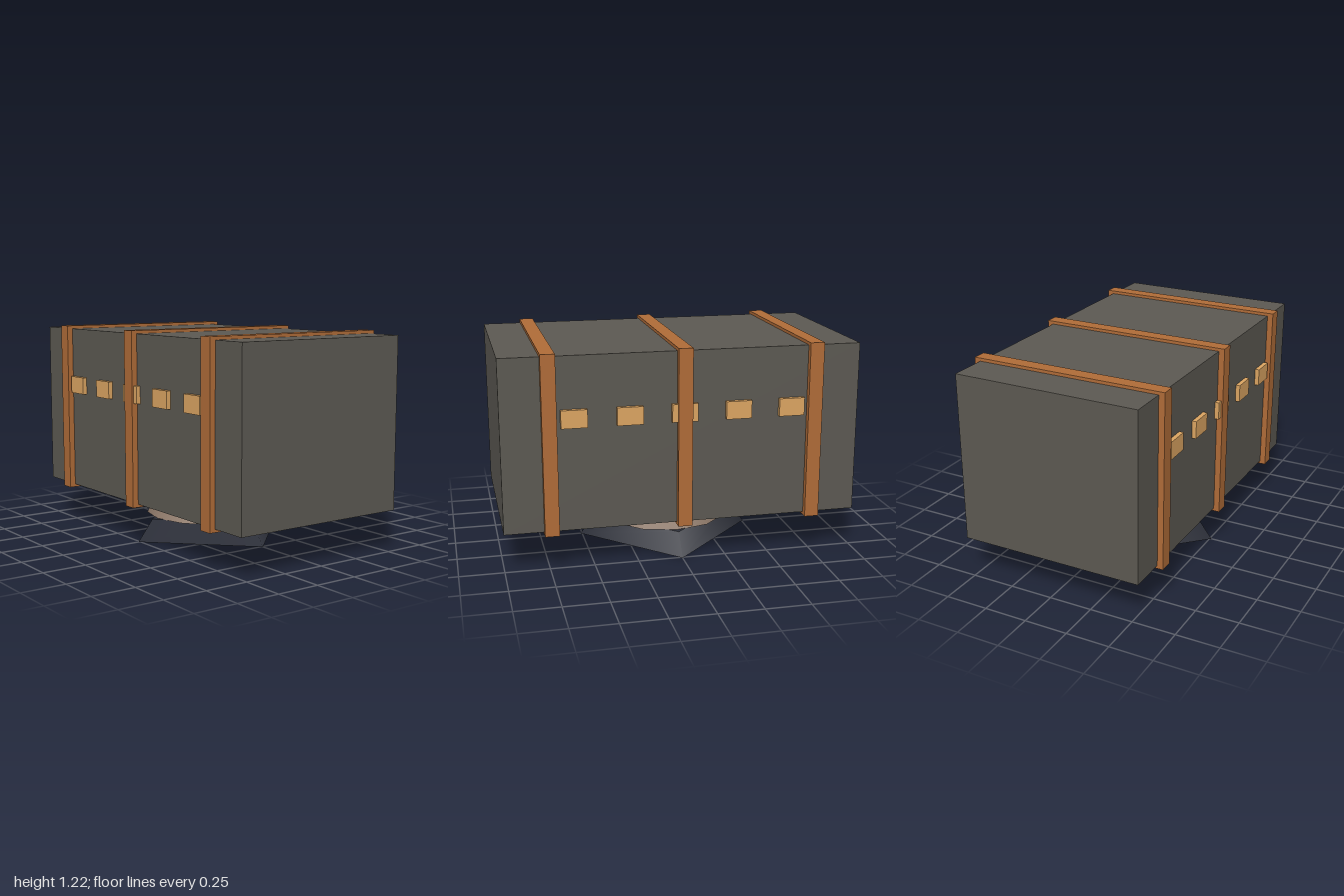
import * as THREE from 'three';

const paint = (color) => new THREE.MeshStandardMaterial({ color });

export function createModel() {
  const model = new THREE.Group();
  const hull = paint(0x5c5952);
  const copper = paint(0xb06c38);
  const amber = paint(0xdca562);
  const stone = paint(0x8f7a6a);
  const dark = paint(0x2d303a);

  const add = (name, geometry, material, x, y, z) => {
    const mesh = new THREE.Mesh(geometry, material);
    mesh.name = name;
    mesh.position.set(x, y, z);
    model.add(mesh);
  };

  // Long box body
  add('body', new THREE.BoxGeometry(1.07, 0.97, 2), hull, 0, 0.717, 0);

  // Bands wrapped around the body
  const band = new THREE.BoxGeometry(1.138, 1.005, 0.08);
  for (const z of [-0.74, 0, 0.74]) add('band', band, copper, 0, 0.717, z);

  // Row of small windows along each side
  const pane = new THREE.BoxGeometry(0.05, 0.1, 0.144);
  for (const side of [-1, 1]) {
    for (let i = -2; i <= 2; i++) add('window', pane, amber, side * 0.535, 0.862, i * 0.303);
  }

  // Round neck on a four-sided foot with its corners on the axes
  add('neck', new THREE.CylinderGeometry(0.32, 0.378, 0.12, 12), stone, 0, 0.18, 0);
  add('foot', new THREE.CylinderGeometry(0.415, 0.51, 0.122, 4), dark, 0, 0.061, 0);

  return model;
}
